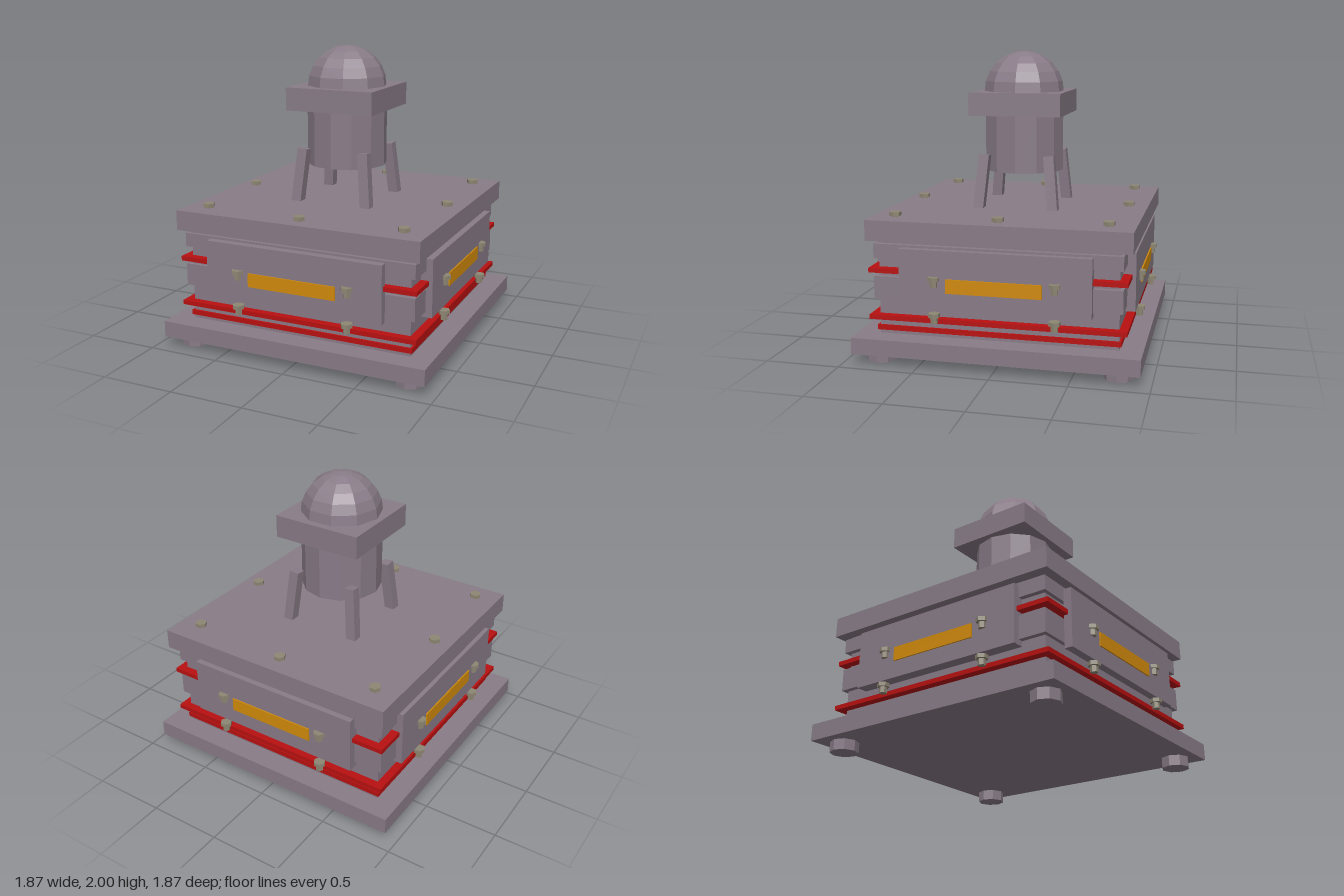
import * as THREE from 'three';

const mat = (name, color) => {
  const m = new THREE.MeshStandardMaterial({ color, flatShading: true });
  m.name = name;
  return m;
};

export function createModel() {
  const body = mat('mauve grey metal', 0x887b87);
  const red = mat('red band', 0xb81010);
  const amber = mat('amber window', 0xd08a0c);
  const steel = mat('bolt steel', 0x8d8673);

  const model = new THREE.Group();
  model.name = 'domedMachine';

  const add = (name, geometry, material, x = 0, y = 0, z = 0, parent = model) => {
    const mesh = new THREE.Mesh(geometry, material);
    mesh.name = name;
    mesh.position.set(x, y, z);
    parent.add(mesh);
    return mesh;
  };
  // Square slab given by half widths and its bottom and top heights
  const slab = (name, half, y0, y1, material = body, z = 0, halfZ = half) =>
    add(name, new THREE.BoxGeometry(half * 2, y1 - y0, halfZ * 2), material, 0, (y0 + y1) / 2, z);
  // Upright prism with corners on the x axis
  const prism = (r, h, sides) => new THREE.CylinderGeometry(r, r, h, sides).rotateY(Math.PI / 2);

  // Stacked square body
  slab('basePlate', 0.935, 0.07, 0.18);
  slab('core', 0.785, 0.18, 0.82);
  slab('lowerBlockBand', 0.82, 0.42, 0.57, body, 0, 0.81);
  slab('upperBlockBand', 0.82, 0.69, 0.785, body, 0, 0.81);
  slab('topSlab', 0.86, 0.81, 0.945, body, -0.01);

  // Red seals
  slab('bottomSeal', 0.8, 0.205, 0.238, red);
  slab('lowerSeal', 0.84, 0.285, 0.315, red);
  slab('upperSeal', 0.84, 0.597, 0.627, red);

  // Hexagonal bolt, positioned by the top of its head
  const headGeo = prism(0.04, 0.026, 6);
  const shankGeo = prism(0.025, 0.045, 6);
  const bolt = (x, y, z) => {
    const g = new THREE.Group();
    g.name = 'bolt';
    add('boltHead', headGeo, steel, 0, -0.013, 0, g);
    add('boltShank', shankGeo, steel, 0, -0.0435, 0, g);
    g.position.set(x, y, z);
    model.add(g);
  };

  // One panel, window and four bolts on each side
  for (let i = 0; i < 4; i++) {
    const a = (i * Math.PI) / 2;
    const c = Math.round(Math.cos(a)), s = Math.round(Math.sin(a));
    const side = new THREE.Group();
    side.name = 'sidePanel';
    side.rotation.y = a;
    const inner = i === 0 ? 0.81 : 0.785;
    add('panel', new THREE.BoxGeometry(1.245, 0.385, 0.864 - inner), body, 0, 0.5775, (0.864 + inner) / 2, side);
    add('window', new THREE.BoxGeometry(0.622, 0.092, 0.009), amber, 0, 0.543, 0.8685, side);
    model.add(side);
    for (const y of [0.6, 0.362])
      for (const u of [-0.39, 0.39]) bolt(u * c + 0.866 * s, y, 0.866 * c - u * s);
    // Bolt in the middle of each edge of the top slab
    bolt(0.74 * s, 0.977, 0.74 * c);
  }

  // Corner feet, top bolts and slanted struts
  const footGeo = prism(0.093, 0.08, 8);
  const strutGeo = new THREE.BoxGeometry(0.07, 0.37, 0.07);
  for (const x of [-1, 1])
    for (const z of [-1, 1]) {
      add('foot', footGeo, body, x * 0.783, 0.04, z * 0.783);
      bolt(x * 0.7, 0.977, z * 0.7);
      const strut = add('strut', strutGeo, body, x * 0.24, 1.12, z * 0.24);
      strut.rotation.set(-z * 0.095, 0, x * 0.095);
    }

  // Raised drum, collar and faceted dome
  add('drum', prism(0.275, 0.4, 12), body, 0, 1.385, 0);
  slab('collar', 0.3125, 1.573, 1.728);
  add('dome', new THREE.SphereGeometry(0.275, 10, 6, 0, Math.PI * 2, 0, Math.PI / 2), body, 0, 1.725, 0);

  return model;
}
